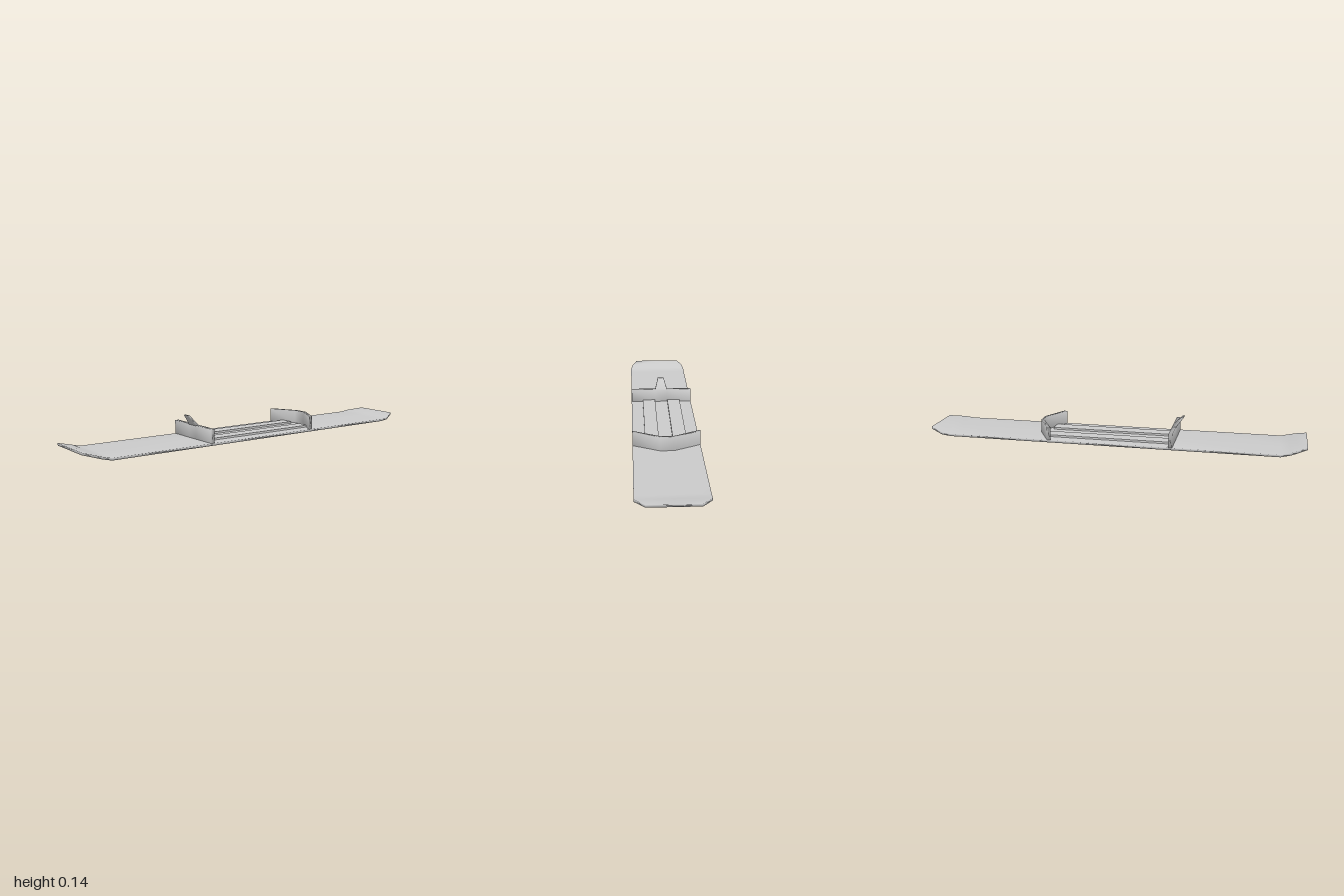
import * as THREE from 'three';

const grey = new THREE.MeshStandardMaterial({ color: 0xcccccc });

// Closed solid skinned over rings of [x, y, z] points, smooth shaded
function loft(name, rings) {
  const n = rings[0].length, last = (rings.length - 1) * n, index = [];
  for (let k = 0; k < rings.length - 1; k++) {
    for (let i = 0; i < n; i++) {
      const a = k * n + i, b = k * n + (i + 1) % n;
      index.push(a, b, b + n, a, b + n, a + n);
    }
  }
  for (let i = 1; i < n - 1; i++) {
    index.push(0, i + 1, i, last, last + i, last + i + 1);
  }
  const geo = new THREE.BufferGeometry();
  geo.setAttribute('position', new THREE.Float32BufferAttribute(rings.flat(2), 3));
  geo.setIndex(index);
  geo.computeVertexNormals();
  const mesh = new THREE.Mesh(geo, grey);
  mesh.name = name;
  return mesh;
}

export function createModel() {
  const group = new THREE.Group();

  // Long thin deck with upturned, chamfered ends: [z, half width, underside height]
  const T = 0.012;
  const stations = [
    [-1, 0.12, 0.02], [-0.92, 0.168, 0.006], [-0.87, 0.169, 0],
    [-0.4, 0.169, 0], [-0.31, 0.169, 0], [0.31, 0.169, 0], [0.33, 0.169, 0],
    [0.87, 0.169, 0], [0.915, 0.168, 0.011], [0.95, 0.158, 0.021], [1, 0.132, 0.035],
  ];
  group.add(loft('deck', stations.map(([z, w, y]) => [
    [-w, y, z], [0, y, z], [w, y, z], [w, y + T, z], [0, y + T, z], [-w, y + T, z],
  ])));

  // Upright walls across the deck: list of [x, inner z, outer z]
  const wall = (name, path) => loft(name, path.map(([x, front, back]) => [
    [x, 0.008, front], [x, 0.008, back], [x, 0.083, back], [x, 0.083, front],
  ]));
  group.add(wall('frontWall', [-0.168, -0.033, 0.033, 0.168].map((x) => [x, 0.33, 0.31])));
  group.add(wall('backWall', [
    [-0.168, -0.31, -0.33], [-0.035, -0.383, -0.4],
    [0.035, -0.383, -0.4], [0.168, -0.31, -0.33],
  ]));

  // Tapered tab leaning forward from the front wall
  const tabRing = (w, y, front, back) => [
    [-w, y, front], [w, y, front], [w, y, back], [-w, y, back],
  ];
  group.add(loft('frontTab', [
    tabRing(0.034, 0.08, 0.33, 0.31), tabRing(0.017, 0.135, 0.37, 0.358),
  ]));

  // Two flat rails between the walls
  for (const side of [-1, 1]) {
    const rail = new THREE.Mesh(new THREE.BoxGeometry(0.07, 0.014, 0.665), grey);
    rail.position.set(side * 0.07, 0.015, -0.02);
    rail.name = side > 0 ? 'leftRail' : 'rightRail';
    group.add(rail);
  }
  return group;
}
